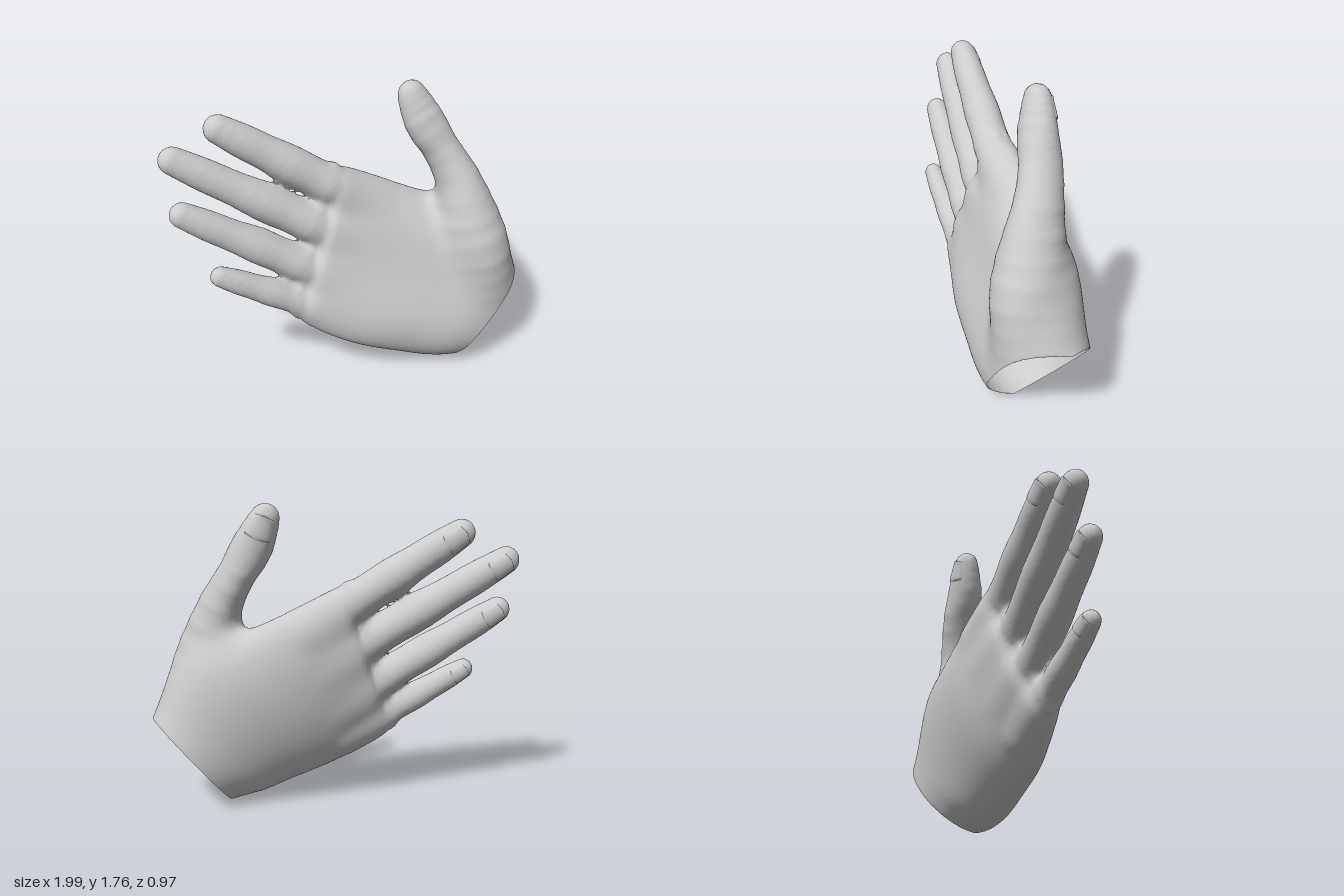
import * as THREE from 'three';

const V = (x, y, z) => new THREE.Vector3(x, y, z);
const material = new THREE.MeshStandardMaterial({ color: 0xcccccc, side: THREE.DoubleSide });
const curve = (pts) => new THREE.CatmullRomCurve3(pts, false, 'catmullrom', 0.5);
const clamp = THREE.MathUtils.clamp;

// ---- Palm: cross-sections from wrist to knuckles [little-finger edge, thumb edge, half depth]
function palmField() {
  const sections = [
    [V(0.545, 0, 0.22), V(0.99, 0.53, 0.2), 0.26],
    [V(0.35, 0.04, 0.2), V(0.88, 0.74, 0.17), 0.27],
    [V(0.15, 0.115, 0.16), V(0.71, 0.95, 0.06), 0.25],
    [V(-0.05, 0.195, 0.1), V(0.43, 1.07, -0.05), 0.22],
    [V(-0.21, 0.28, 0.03), V(0.18, 1.19, -0.12), 0.175],
    [V(-0.33, 0.37, -0.04), V(0.02, 1.25, -0.155), 0.14],
    [V(-0.38, 0.45, -0.08), V(-0.07, 1.24, -0.16), 0.1],
  ];
  const centre = curve(sections.map(([a, b]) => a.clone().lerp(b, 0.5)));
  const half = curve(sections.map(([a, b]) => b.clone().sub(a).multiplyScalar(0.5)));
  const depth = curve(sections.map((s) => V(s[2], 0, 0)));
  // Each row: centre, side axis, back-of-hand axis, forward axis, half width, half depth, position
  const rows = [], N = 36;
  for (let i = 0; i <= N; i++) {
    const t = i / N, u = half.getPoint(t), width = u.length();
    const v = centre.getTangent(t).cross(u).normalize();
    u.normalize();
    const n = u.clone().cross(v), e = Math.min(1, (1 - t) / 0.12);
    const h = Math.max(0.03, depth.getPoint(t).x * Math.sqrt(1 - (1 - e) ** 2));
    rows.push([...centre.getPoint(t), ...u, ...v, ...n, width, h, t]);
  }
  const ahead = (r, x, y, z) => (x - r[0]) * r[9] + (y - r[1]) * r[10] + (z - r[2]) * r[11];
  const m = new Array(15);
  return (x, y, z) => {
    let i = 0, s = ahead(rows[0], x, y, z), w = 0;
    if (s > 0) {
      while (i < N) {
        const next = ahead(rows[i + 1], x, y, z);
        if (next < 0) { w = s / (s - next); break; }
        s = next;
        i++;
      }
    }
    const p = rows[i], q = rows[Math.min(i + 1, N)];
    for (let j = 0; j < 15; j++) m[j] = p[j] + (q[j] - p[j]) * w;
    const dx = x - m[0], dy = y - m[1], dz = z - m[2], U = m[12];
    const a = dx * m[3] + dy * m[4] + dz * m[5], b = dx * m[6] + dy * m[7] + dz * m[8];
    // Hollow of the hand on the palm side
    const mid = Math.max(0, 1 - (a / U) ** 2) ** 3;
    const H = b < 0 ? m[13] * (1 - 0.22 * Math.sin(Math.PI * m[14]) * mid) : m[13];
    const k0 = Math.hypot(a / U, b / H), k1 = Math.hypot(a / U / U, b / H / H);
    const side = k0 < 1e-5 ? -H : k0 * (k0 - 1) / k1;
    return i === N ? Math.max(side, s) : side;
  };
}

// ---- Digits: rounded tube through stations [x, y, z, side radius, depth radius]
function digitField(stations) {
  const path = curve(stations.map((s) => V(s[0], s[1], s[2])));
  const size = curve(stations.map((s) => V(s[3], s[4], 0)));
  const N = 14, P = [];
  for (let i = 0; i <= N; i++) {
    const r = size.getPoint(i / N);
    P.push([...path.getPoint(i / N), r.x, r.x / r.y]);
  }
  return (x, y, z) => {
    let best = Infinity;
    for (let i = 0; i < N; i++) {
      const a = P[i], b = P[i + 1];
      const ex = b[0] - a[0], ey = b[1] - a[1], ez = b[2] - a[2];
      const px = x - a[0], py = y - a[1], pz = z - a[2];
      const t = clamp((px * ex + py * ey + pz * ez) / (ex * ex + ey * ey + ez * ez), 0, 1);
      const qx = px - t * ex, qy = py - t * ey, qz = (pz - t * ez) * (a[4] + t * (b[4] - a[4]));
      best = Math.min(best, Math.sqrt(qx * qx + qy * qy + qz * qz) - a[3] - t * (b[3] - a[3]));
    }
    return best;
  };
}

// ---- Curved wrist opening: how far a point lies beyond it
const OUT = [0.766, -0.643];
const beyondWrist = (x, y, z) => (x - 0.767) * OUT[0] + (y - 0.265) * OUT[1]
  + 0.13 * clamp((z - 0.22) / 0.25, 0, 1);

// ---- One continuous skin over the field, as a net of quads, left open at the wrist
function skin(field) {
  const h = 0.018, o = [-1.05, -0.05, -0.55], n = [118, 104, 61];
  const step = [1, n[0], n[0] * n[1]], count = n[0] * n[1] * n[2];
  const val = new Float32Array(count), cell = new Int32Array(count).fill(-1);
  const pos = [], idx = [];
  const each = (from, to, fn) => {
    for (let k = from; k < n[2] - to; k++)
      for (let j = from; j < n[1] - to; j++)
        for (let i = from; i < n[0] - to; i++) fn([i, j, k], i + j * step[1] + k * step[2]);
  };
  each(0, 0, (g, id) => { val[id] = field(o[0] + g[0] * h, o[1] + g[1] * h, o[2] + g[2] * h); });
  // One vertex per crossed cell, at the mean of its edge crossings
  each(0, 1, (g, id) => {
    const sum = [0, 0, 0];
    let hits = 0;
    for (let axis = 0; axis < 3; axis++) {
      const b = (axis + 1) % 3, c = (axis + 2) % 3;
      for (let e = 0; e < 4; e++) {
        const db = e & 1, dc = e >> 1, at = id + db * step[b] + dc * step[c];
        const f0 = val[at], f1 = val[at + step[axis]];
        if ((f0 < 0) === (f1 < 0)) continue;
        sum[axis] += f0 / (f0 - f1);
        sum[b] += db;
        sum[c] += dc;
        hits++;
      }
    }
    if (!hits) return;
    cell[id] = pos.length / 3;
    for (let a = 0; a < 3; a++) pos.push(o[a] + (g[a] + sum[a] / hits) * h);
  });
  const over = (v) => beyondWrist(pos[v * 3], pos[v * 3 + 1], pos[v * 3 + 2]);
  // One quad around every crossed grid edge
  each(1, 1, (g, id) => {
    for (let axis = 0; axis < 3; axis++) {
      if ((val[id] < 0) === (val[id + step[axis]] < 0)) continue;
      const b = step[(axis + 1) % 3], c = step[(axis + 2) % 3];
      const q = [cell[id - b - c], cell[id - c], cell[id], cell[id - b]];
      if (q.every((v) => over(v) > 0)) continue;
      if (val[id] >= 0) q.reverse();
      idx.push(q[0], q[1], q[2], q[0], q[2], q[3]);
    }
  });
  // Trim the rim cleanly to the wrist opening
  for (let v = 0; v < pos.length / 3; v++) {
    const d = Math.max(0, over(v));
    pos[v * 3] -= d * OUT[0];
    pos[v * 3 + 1] -= d * OUT[1];
  }
  return meshOf('handSkin', pos, idx);
}

function meshOf(name, pos, idx) {
  const g = new THREE.BufferGeometry();
  g.setAttribute('position', new THREE.Float32BufferAttribute(pos, 3));
  g.setIndex(idx);
  g.computeVertexNormals();
  const mesh = new THREE.Mesh(g, material);
  mesh.name = name;
  return mesh;
}

// ---- Nail: curved plate on the back of the last joint, its edges sunk into the skin
function nail(name, stations, turn) {
  const [a, b] = stations.slice(-2), end = V(b[0], b[1], b[2]);
  const d = end.clone().sub(V(a[0], a[1], a[2])), length = d.length();
  d.normalize();
  const u = V(d.y, -d.x, 0).normalize(), v = d.clone().cross(u), pos = [], idx = [], M = 12;
  for (let i = 0; i <= M; i++)
    for (let j = 0; j <= M; j++) {
      const s = 2 * i / M - 1, k = 2 * j / M - 1;
      const along = b[3] * (-0.55 + 0.85 * s), f = Math.max(0, -along / length);
      const angle = Math.PI / 2 + turn + k * 0.9 * Math.max(0, 1 - Math.abs(s) ** 5) ** 0.4;
      const grow = 1.08 - 0.1 * Math.max(Math.abs(k), -s) ** 6;
      pos.push(...end.clone().addScaledVector(d, along)
        .addScaledVector(u, Math.cos(angle) * grow * (b[3] + (a[3] - b[3]) * f))
        .addScaledVector(v, Math.sin(angle) * grow * (b[4] + (a[4] - b[4]) * f)));
      const at = i * (M + 1) + j;
      if (i < M && j < M) idx.push(at, at + 1, at + M + 1, at + 1, at + M + 2, at + M + 1);
    }
  return meshOf(name, pos, idx);
}

export function createModel() {
  const hand = new THREE.Group();
  hand.name = 'hand';

  // Fingers: buried start, base, tip, base radius
  const fingers = [
    ['indexFinger', V(0.15, 1.04, -0.1), V(-0.08, 1.185, -0.14), V(-0.735, 1.635, -0.38), 0.112],
    ['middleFinger', V(0.05, 0.81, -0.08), V(-0.2, 0.965, -0.13), V(-0.985, 1.48, -0.445), 0.109],
    ['ringFinger', V(-0.05, 0.58, -0.05), V(-0.3, 0.735, -0.11), V(-0.99, 1.185, -0.355), 0.102],
    ['littleFinger', V(-0.12, 0.38, -0.01), V(-0.34, 0.51, -0.07), V(-0.845, 0.805, -0.21), 0.084],
  ];
  // Share of the way from base to tip, and thickness there (joints swell a little)
  const joints = [[0, 1], [0.2, 0.95], [0.4, 0.98], [0.6, 0.88], [0.8, 0.85], [1, 0.72]];
  const digits = fingers.map(([name, start, base, tip, r]) => {
    const end = tip.clone().addScaledVector(tip.clone().sub(base).normalize(), -0.7 * r);
    const stations = [[...start, r * 0.9, r * 0.9]];
    for (const [f, k] of joints)
      stations.push([...base.clone().lerp(end, f), r * k, r * k * (1 - 0.1 * f)]);
    return { name, stations, blend: 0.08, turn: 0 };
  });

  // Thumb with the ball of the hand at its root
  digits.push({
    name: 'thumb', blend: 0.1, turn: -0.25, stations: [
      [0.72, 0.43, 0.22, 0.18, 0.2],
      [0.7, 0.6, 0.235, 0.19, 0.225],
      [0.67, 0.77, 0.23, 0.2, 0.225],
      [0.635, 0.95, 0.195, 0.178, 0.19],
      [0.595, 1.18, 0.125, 0.125, 0.15],
      [0.52, 1.36, 0.045, 0.105, 0.125],
      [0.445, 1.5, 0.005, 0.118, 0.105],
      [0.4, 1.61, -0.03, 0.102, 0.085],
      [0.374, 1.68, -0.05, 0.082, 0.07],
    ],
  });

  // Palm and digits flow into each other with soft fillets
  const palm = palmField();
  const parts = digits.map((d) => ({ at: digitField(d.stations), blend: d.blend }));
  hand.add(skin((x, y, z) => {
    let f = palm(x, y, z);
    for (const { at, blend } of parts) {
      const g = at(x, y, z), m = Math.max(0, blend - Math.abs(f - g));
      f = Math.min(f, g) - m * m / (4 * blend);
    }
    return f;
  }));
  for (const d of digits) hand.add(nail(d.name + 'Nail', d.stations, d.turn));
  return hand;
}
